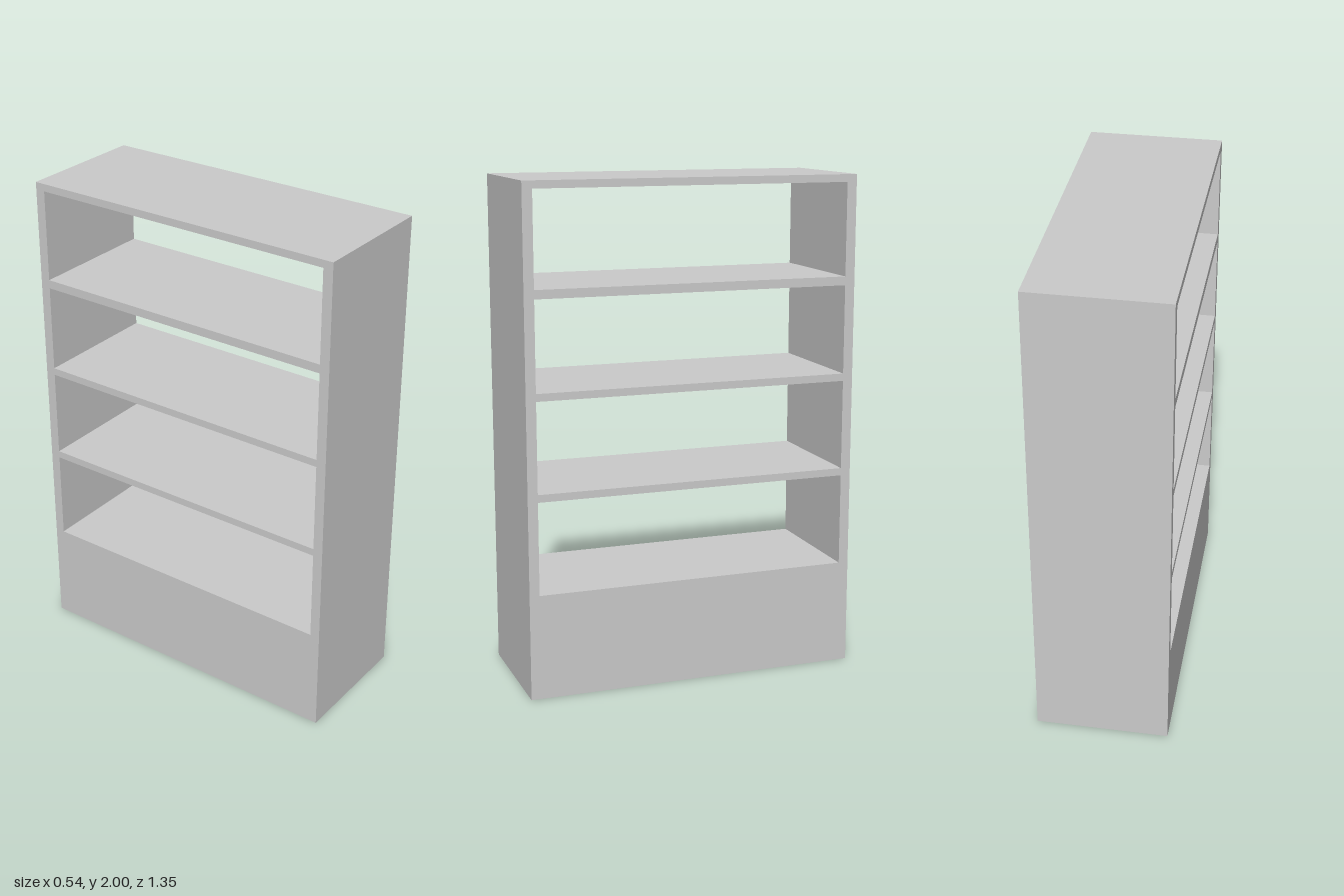
import * as THREE from 'three';

const HX = 0.268, HZ = 0.675, H = 2;      // half depth, half width, height
const OZ = 0.635;                         // half width of the openings
const openings = [[0.42, 0.79], [0.82, 1.18], [1.21, 1.565], [1.6, 1.97]];

// Flat walls swept across the full depth along a path of [z, y] points
function sweepAcross(path) {
  const pos = [];
  for (let i = 0; i < path.length - 1; i++) {
    const [az, ay] = path[i], [bz, by] = path[i + 1];
    pos.push(-HX, ay, az, HX, ay, az, HX, by, bz);
    pos.push(-HX, ay, az, HX, by, bz, -HX, by, bz);
  }
  const g = new THREE.BufferGeometry();
  g.setAttribute('position', new THREE.Float32BufferAttribute(pos, 3));
  g.computeVertexNormals();
  return g;
}

// Closed rectangle path: floor, wall, ceiling, wall
const rectangle = (y0, y1) => [[OZ, y0], [-OZ, y0], [-OZ, y1], [OZ, y1], [OZ, y0]];

export function createModel() {
  const group = new THREE.Group();
  const material = new THREE.MeshStandardMaterial({ color: 0xcccccc, side: THREE.DoubleSide });
  const add = (name, geometry) => {
    const mesh = new THREE.Mesh(geometry, material);
    mesh.name = name;
    group.add(mesh);
    return mesh;
  };

  // Hollow outer casing: two sides and the top, open underneath
  add('casing', sweepAcross([[HZ, 0], [HZ, H], [-HZ, H], [-HZ, 0]]));

  // Identical open faces with the plinth and shelf edges
  const face = new THREE.Shape([[-HZ, 0], [HZ, 0], [HZ, H], [-HZ, H]].map(p => new THREE.Vector2(...p)));
  for (const [y0, y1] of openings) {
    face.holes.push(new THREE.Path(rectangle(y0, y1).slice(0, 4).map(p => new THREE.Vector2(...p))));
  }
  for (const side of [1, -1]) {
    const frame = add(side > 0 ? 'leftFrame' : 'rightFrame', new THREE.ShapeGeometry(face));
    frame.rotation.y = side * Math.PI / 2;
    frame.position.x = side * HX;
  }

  // Linings of the shelf compartments, open right through
  openings.forEach(([y0, y1], i) => add(`shelfCompartment${i + 1}`, sweepAcross(rectangle(y0, y1))));

  return group;
}
